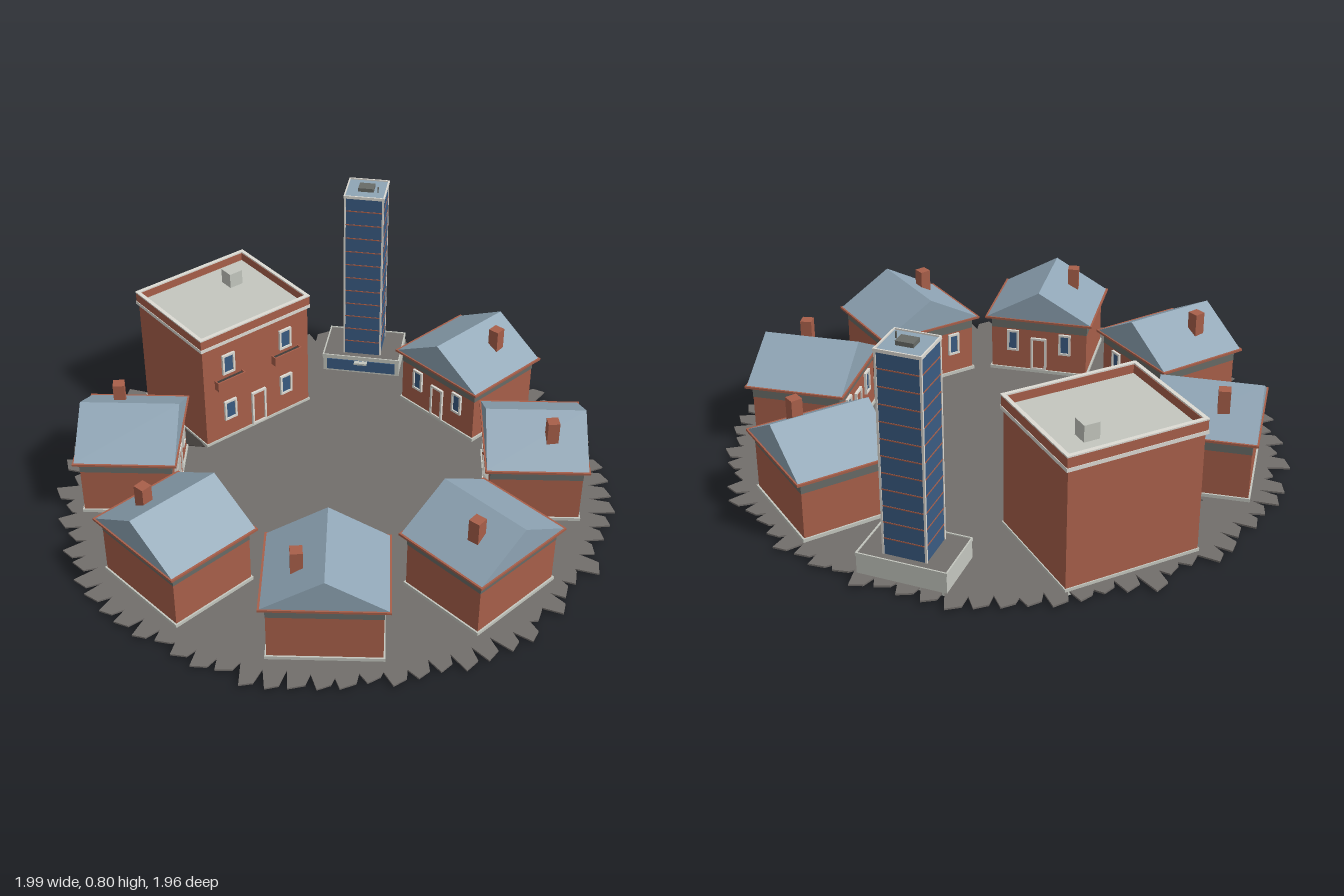
import * as THREE from 'three';

const mat = (name, color) => {
  const m = new THREE.MeshStandardMaterial({ color });
  m.name = name;
  return m;
};
const brick = mat('brick', 0xa85f4a);
const slate = mat('slate', 0x8fa5b5);
const asphalt = mat('asphalt', 0x726e6b);
const shadedStone = mat('shadedStone', 0x686b67);
const paleStone = mat('paleStone', 0xc4c7bf);
const glass = mat('glass', 0x3a5b82);
const trim = mat('trim', 0xdddbd4);
const dark = mat('dark', 0x403c39);

function add(parent, name, geo, material, x = 0, y = 0, z = 0) {
  const m = new THREE.Mesh(geo, material);
  m.name = name;
  m.position.set(x, y, z);
  parent.add(m);
  return m;
}

// Box given by width, depth and its bottom and top heights
function block(parent, name, material, w, d, y0, y1, x = 0, z = 0) {
  return add(parent, name, new THREE.BoxGeometry(w, y1 - y0, d), material, x, (y0 + y1) / 2, z);
}

// Hollow rectangular rim
function rim(parent, name, material, w, d, t, y0, y1) {
  for (const s of [-1, 1]) {
    block(parent, name, material, w, t, y0, y1, 0, s * (d - t) / 2);
    block(parent, name, material, t, d - 2 * t, y0, y1, s * (w - t) / 2, 0);
  }
}

// Framed opening on a wall facing +z
function opening(parent, name, pane, w, y0, y1, x, z) {
  const g = new THREE.Group();
  g.name = name;
  parent.add(g);
  const t = 0.008;
  for (const s of [-1, 1]) block(g, 'frameSide', trim, t, 0.009, y0, y1, x + s * (w - t) / 2, z + 0.0045);
  block(g, 'frameTop', trim, w - 2 * t, 0.009, y1 - t, y1, x, z + 0.0045);
  block(g, 'frameSill', trim, w - 2 * t, 0.009, y0, y0 + t, x, z + 0.0045);
  block(g, 'pane', pane, w - t, 0.004, y0 + 0.002, y1 - 0.002, x, z + 0.002);
}

// Gable house whose front gable faces +z
function house() {
  const g = new THREE.Group();
  g.name = 'house';
  block(g, 'foundation', paleStone, 0.378, 0.328, 0, 0.026);
  block(g, 'walls', brick, 0.366, 0.316, 0.026, 0.19);
  block(g, 'frieze', shadedStone, 0.368, 0.318, 0.19, 0.233);
  block(g, 'eaves', brick, 0.41, 0.357, 0.231, 0.239);
  const tri = new THREE.Shape([[-0.198, 0], [0.198, 0], [0, 0.114]].map(p => new THREE.Vector2(...p)));
  const roof = new THREE.ExtrudeGeometry(tri, { depth: 0.346, bevelEnabled: false });
  add(g, 'roof', roof, slate, 0, 0.239, -0.173);
  const c = block(g, 'chimney', brick, 0.04, 0.04, 0.26, 0.372, 0.09, -0.05);
  c.rotation.y = 0.1;
  for (const s of [-1, 1]) opening(g, 'window', glass, 0.046, 0.1, 0.185, s * 0.1, 0.158);
  opening(g, 'door', brick, 0.06, 0.026, 0.16, 0, 0.158);
  return g;
}

// Flat-roofed block facing +z
function apartment() {
  const g = new THREE.Group();
  g.name = 'apartmentBlock';
  const w = 0.472, d = 0.408, f = d / 2;
  block(g, 'foundation', paleStone, w + 0.008, d + 0.008, 0, 0.024);
  block(g, 'walls', brick, w, d, 0.024, 0.437);
  block(g, 'cornice', trim, w + 0.016, d + 0.016, 0.437, 0.45);
  rim(g, 'parapet', brick, w + 0.012, d + 0.012, 0.014, 0.45, 0.485);
  rim(g, 'coping', trim, w + 0.015, d + 0.015, 0.014, 0.485, 0.49);
  block(g, 'flatRoof', paleStone, w - 0.016, d - 0.016, 0.449, 0.455);
  block(g, 'roofVent', paleStone, 0.055, 0.055, 0.455, 0.512, 0.104, -0.085);
  for (const s of [-1, 1]) {
    const x = s * 0.128;
    opening(g, 'upperWindow', glass, 0.054, 0.305, 0.388, x, f);
    opening(g, 'lowerWindow', glass, 0.054, 0.1, 0.183, x, f);
    block(g, 'balconyDeck', dark, 0.116, 0.02, 0.257, 0.285, x, f + 0.01);
    block(g, 'balconyRail', brick, 0.122, 0.005, 0.255, 0.292, x, f + 0.0215);
    for (const e of [-1, 1]) block(g, 'balconyEnd', brick, 0.004, 0.02, 0.255, 0.292, x + e * 0.059, f + 0.01);
  }
  opening(g, 'door', brick, 0.064, 0.024, 0.168, 0, f);
  return g;
}

// Glass tower on a low podium
function tower() {
  const g = new THREE.Group();
  g.name = 'tower';
  block(g, 'podium', paleStone, 0.3, 0.2, 0.003, 0.08);
  block(g, 'podiumDeck', asphalt, 0.296, 0.196, 0.08, 0.084);
  rim(g, 'podiumEdge', paleStone, 0.304, 0.204, 0.005, 0.076, 0.088);
  block(g, 'podiumUnderside', dark, 0.284, 0.184, 0.001, 0.003);
  block(g, 'podiumGlass', glass, 0.27, 0.006, 0.022, 0.07, 0, 0.1);
  block(g, 'canopy', paleStone, 0.05, 0.02, 0.062, 0.07, 0, 0.11);
  block(g, 'glassShaft', glass, 0.144, 0.138, 0.084, 0.772);
  for (let i = 0; i < 11; i++) {
    const y = 0.14 + i * 0.0577;
    block(g, 'floorBand', brick, 0.147, 0.141, y, y + 0.004);
  }
  for (const sx of [-1, 1]) for (const sz of [-1, 1])
    block(g, 'cornerPost', trim, 0.007, 0.007, 0.084, 0.775, sx * 0.071, sz * 0.068);
  block(g, 'towerRoof', slate, 0.146, 0.14, 0.772, 0.778);
  rim(g, 'roofRim', trim, 0.152, 0.146, 0.005, 0.772, 0.783);
  block(g, 'roofUnit', shadedStone, 0.058, 0.045, 0.778, 0.792);
  block(g, 'mast', shadedStone, 0.004, 0.004, 0.778, 0.8, 0.045, 0.02);
  return g;
}

// Thin round ground with a jagged sawtooth rim
function ground() {
  let seed = 7;
  const rnd = () => (seed = (seed * 16807) % 2147483647) / 2147483647;
  const shape = new THREE.Shape();
  const n = 76;
  for (let i = 0; i < n; i++) {
    const a = (i / n) * Math.PI * 2, step = (Math.PI * 2) / n;
    const inner = 0.895 + rnd() * 0.03, outer = 0.94 + rnd() * 0.058;
    const pts = [[inner, 0], [outer, 0.15 + rnd() * 0.2], [outer - 0.02, 0.85]];
    pts.forEach(([r, k], j) => {
      const t = a + k * step;
      shape[i + j ? 'lineTo' : 'moveTo'](r * Math.cos(t), r * Math.sin(t));
    });
  }
  shape.closePath();
  return new THREE.ExtrudeGeometry(shape, { depth: 0.006, bevelEnabled: false }).rotateX(-Math.PI / 2);
}

// Rounded square plate under the middle of the ground
function underPlate() {
  const h = 0.3, r = 0.04, s = new THREE.Shape();
  [[1, 1], [-1, 1], [-1, -1], [1, -1]].forEach(([x, y], i) =>
    s.absarc(x * (h - r), y * (h - r), r, i * Math.PI / 2, (i + 1) * Math.PI / 2, false));
  return new THREE.ExtrudeGeometry(s, { depth: 0.004, bevelEnabled: false, curveSegments: 4 }).rotateX(-Math.PI / 2);
}

// Dark paving between the flat-roofed block and its neighbour
function darkPaving() {
  const s = new THREE.Shape([[-0.75, 0.13], [-0.51, 0.14], [-0.6, 0.25]].map(p => new THREE.Vector2(...p)));
  return new THREE.ExtrudeGeometry(s, { depth: 0.002, bevelEnabled: false }).rotateX(-Math.PI / 2);
}

export function createModel() {
  const model = new THREE.Group();
  model.name = 'townCircle';
  add(model, 'ground', ground(), asphalt, 0, 0.008, 0);
  add(model, 'underPlate', underPlate(), dark, 0, 0.004, 0).rotation.y = 0.16;
  add(model, 'darkPaving', darkPaving(), dark, 0, 0.014, 0);

  // Ring of houses: x, z and the direction of the front
  const places = [
    [0.412, -0.578, -0.61, 0.79], [0.685, -0.115, -0.99, 0.135], [0.552, 0.412, -0.8, -0.6],
    [0.087, 0.682, -0.135, -0.99], [-0.435, 0.54, 0.6, -0.8], [-0.708, 0.078, 0.99, -0.135],
  ];
  for (const [x, z, fx, fz] of places) {
    const h = house();
    h.position.set(x, 0, z);
    h.rotation.y = Math.atan2(fx, fz);
    model.add(h);
  }

  const a = apartment();
  a.position.set(-0.495, 0, -0.456);
  a.rotation.y = Math.atan2(0.745, 0.667);
  model.add(a);

  const t = tower();
  t.position.set(-0.013, 0, -0.805);
  model.add(t);
  return model;
}
